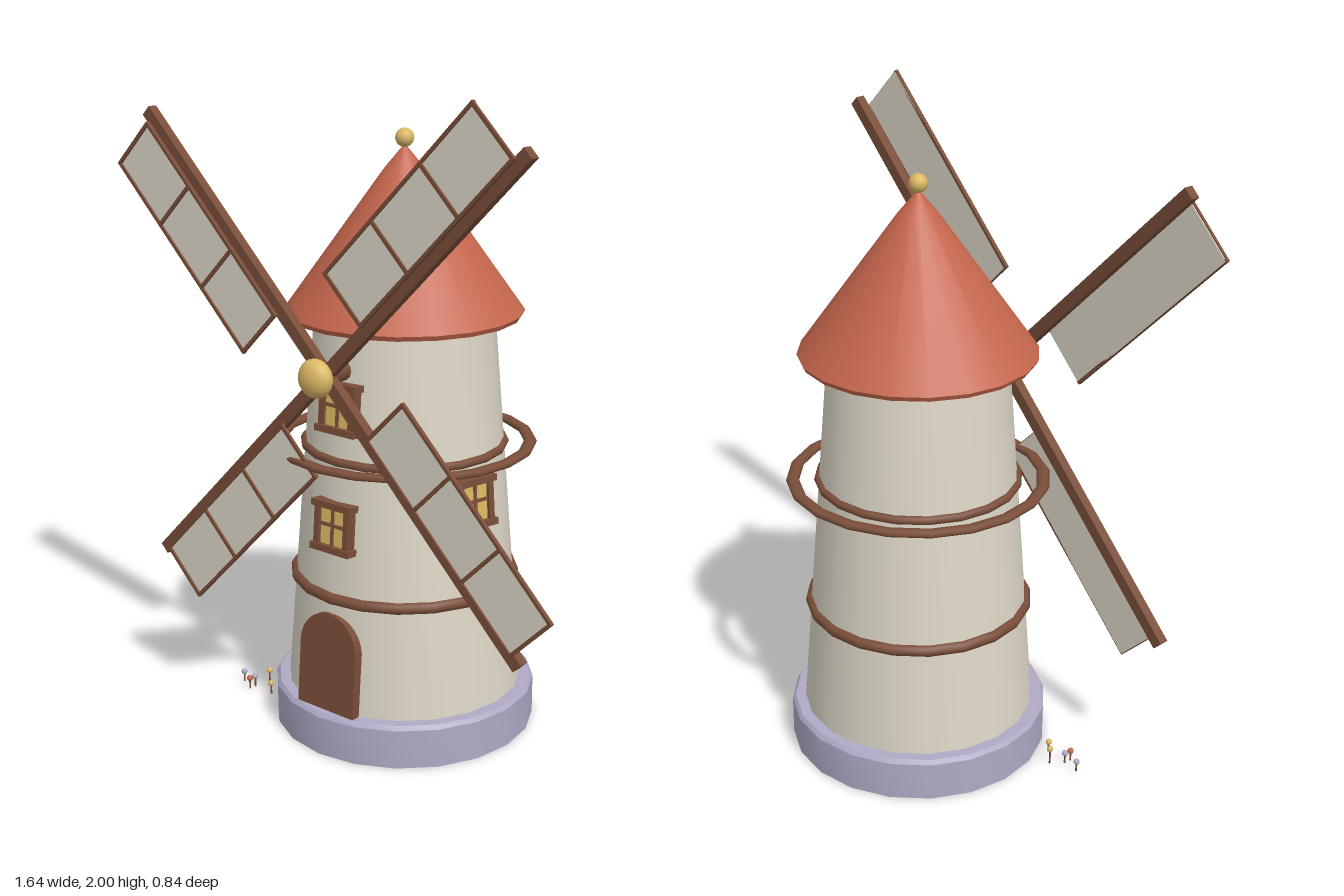
import * as THREE from 'three';
import { toCreasedNormals } from 'three/addons/utils/BufferGeometryUtils.js';

const material = (name, color, side = THREE.FrontSide) => {
  const m = new THREE.MeshStandardMaterial({ color, side });
  m.name = name;
  return m;
};
const SEGMENTS = 20;
const HUB_Y = 1.18;
const SLOPE = 0.08;
const CENTRE_Z = -0.012;

// Tower radius at a given height
const towerRadius = (y) => 0.366 - (y - 0.13) * SLOPE;

export function createModel() {
  const plaster = material('cream plaster', 0xded7c8, THREE.DoubleSide);
  const stone = material('lavender stone', 0xb0aac6, THREE.DoubleSide);
  const roofRed = material('terracotta', 0xc5664c, THREE.DoubleSide);
  const wood = material('brown wood', 0x7a4e39);
  const gold = material('gold', 0xdbb864);

  const model = new THREE.Group();
  model.name = 'windmill';

  const add = (parent, name, geometry, mat, x = 0, y = 0, z = 0) => {
    const mesh = new THREE.Mesh(geometry, mat);
    mesh.name = name;
    mesh.position.set(x, y, z);
    parent.add(mesh);
    return mesh;
  };
  const box = (parent, name, w, h, d, mat, x, y, z) =>
    add(parent, name, new THREE.BoxGeometry(w, h, d), mat, x, y, z);
  const lathe = (points) => toCreasedNormals(
    new THREE.LatheGeometry(points.map((p) => new THREE.Vector2(...p)), SEGMENTS), 0.45);

  const tower = new THREE.Group();
  tower.name = 'tower';
  tower.position.z = CENTRE_Z;
  model.add(tower);

  // Open-bottomed plinth, tapering wall and conical roof
  add(tower, 'base', lathe([[0.408, 0], [0.408, 0.122], [0.398, 0.135], [0.355, 0.135]]), stone);
  add(tower, 'wall', lathe([[towerRadius(0.13), 0.13], [towerRadius(1.32), 1.32]]), plaster);
  add(tower, 'roof', lathe([[0.25, 1.315], [0.352, 1.3], [0.36, 1.315], [0.06, 1.733], [0, 1.805]]), roofRed);
  add(tower, 'finial', new THREE.SphereGeometry(0.028, 16, 12), gold, 0, 1.822, 0);

  // Wooden hoops; flatten squashes the section vertically
  const hoop = (name, radius, tube, y, flatten) => {
    const g = new THREE.TorusGeometry(radius, tube, 8, SEGMENTS);
    g.rotateX(Math.PI / 2);
    g.scale(1, flatten, 1);
    add(tower, name, g, wood, 0, y, 0);
  };
  hoop('lowerHoop', towerRadius(0.485), 0.018, 0.485, 1);
  hoop('upperHoop', towerRadius(0.905), 0.015, 0.905, 0.9);
  hoop('outerRing', 0.384, 0.02, 0.905, 0.6);

  // Group resting on the wall, facing outwards at an angle from the front
  const onWall = (name, y, angle) => {
    const g = new THREE.Group();
    const r = towerRadius(y);
    g.name = name;
    g.position.set(Math.sin(angle) * r, y, Math.cos(angle) * r);
    g.rotation.set(-SLOPE, angle, 0, 'YXZ');
    tower.add(g);
    return g;
  };

  // Arched door
  const arch = new THREE.Shape();
  arch.moveTo(-0.11, 0);
  arch.lineTo(0.11, 0);
  arch.lineTo(0.11, 0.2);
  arch.absarc(0, 0.2, 0.11, 0, Math.PI, false);
  arch.closePath();
  const door = onWall('doorway', 0.13, 0);
  add(door, 'door', toCreasedNormals(new THREE.ExtrudeGeometry(arch,
    { depth: 0.05, bevelEnabled: false, curveSegments: 16 }), 0.6), wood, 0, 0, -0.038);

  // Windows with glowing panes, crossbars, lintel and sill
  const windowAt = (y, angle) => {
    const w = onWall('window', y, angle);
    box(w, 'windowPane', 0.105, 0.13, 0.008, gold, 0, 0, 0.008);
    for (const s of [-1, 1]) {
      box(w, 'windowJamb', 0.02, 0.14, 0.036, wood, s * 0.057, 0, 0.004);
      box(w, 'windowLedge', 0.15, 0.02, 0.046, wood, 0, s * 0.067, 0.006);
    }
    box(w, 'windowMullion', 0.01, 0.13, 0.014, wood, 0, 0, 0.01);
    box(w, 'windowTransom', 0.1, 0.01, 0.014, wood, 0, 0.005, 0.01);
  };
  windowAt(0.71, 0);
  windowAt(1.07, 0);
  windowAt(0.785, Math.PI / 2 - 0.19);

  // Axle and hub
  const axle = new THREE.CylinderGeometry(0.03, 0.03, 0.14, 12);
  axle.rotateX(Math.PI / 2);
  add(model, 'axle', axle, wood, 0, HUB_Y, 0.285);
  add(model, 'hub', new THREE.SphereGeometry(0.058, 20, 14), gold, 0, HUB_Y, 0.385).scale.z = 0.68;

  // Four sails: each arm runs along its own +x, the canvas lies on its +y side
  const IN = 0.228, OUT = 0.957, LOW = 0.01, HIGH = 0.203;
  const length = OUT - IN, width = HIGH - LOW;
  const midX = (IN + OUT) / 2, midY = (LOW + HIGH) / 2;
  for (let i = 0; i < 4; i++) {
    const sail = new THREE.Group();
    sail.name = 'sail';
    sail.position.set(0, HUB_Y, 0);
    sail.rotation.z = Math.PI / 4 + i * Math.PI / 2;
    model.add(sail);
    box(sail, 'spar', 0.99, 0.038, 0.03, wood, 0.495, 0, 0.341);
    box(sail, 'canvas', length - 0.005, width - 0.005, 0.006, plaster, midX, midY, 0.361);
    for (const y of [LOW + 0.005, HIGH - 0.005]) {
      box(sail, 'sailRail', length, 0.01, 0.012, wood, midX, y, 0.364);
    }
    for (let k = 0; k < 4; k++) {
      const x = IN + 0.005 + (k / 3) * (length - 0.01);
      box(sail, 'sailBatten', 0.011, width, 0.009, wood, x, midY, 0.366);
    }
  }

  // Little flowers beside the plinth
  const flowers = [
    [-0.525, 0.185, 0.035, stone], [-0.47, 0.19, 0.036, stone], [-0.473, 0.212, 0.036, roofRed],
    [-0.44, 0.153, 0.053, gold], [-0.393, 0.195, 0.036, gold],
  ];
  for (const [x, z, h, mat] of flowers) {
    add(model, 'flowerStem', new THREE.CylinderGeometry(0.003, 0.003, h, 6), wood, x, h / 2, z);
    add(model, 'flowerHead', new THREE.SphereGeometry(0.01, 8, 6), mat, x, h, z);
  }

  return model;
}
